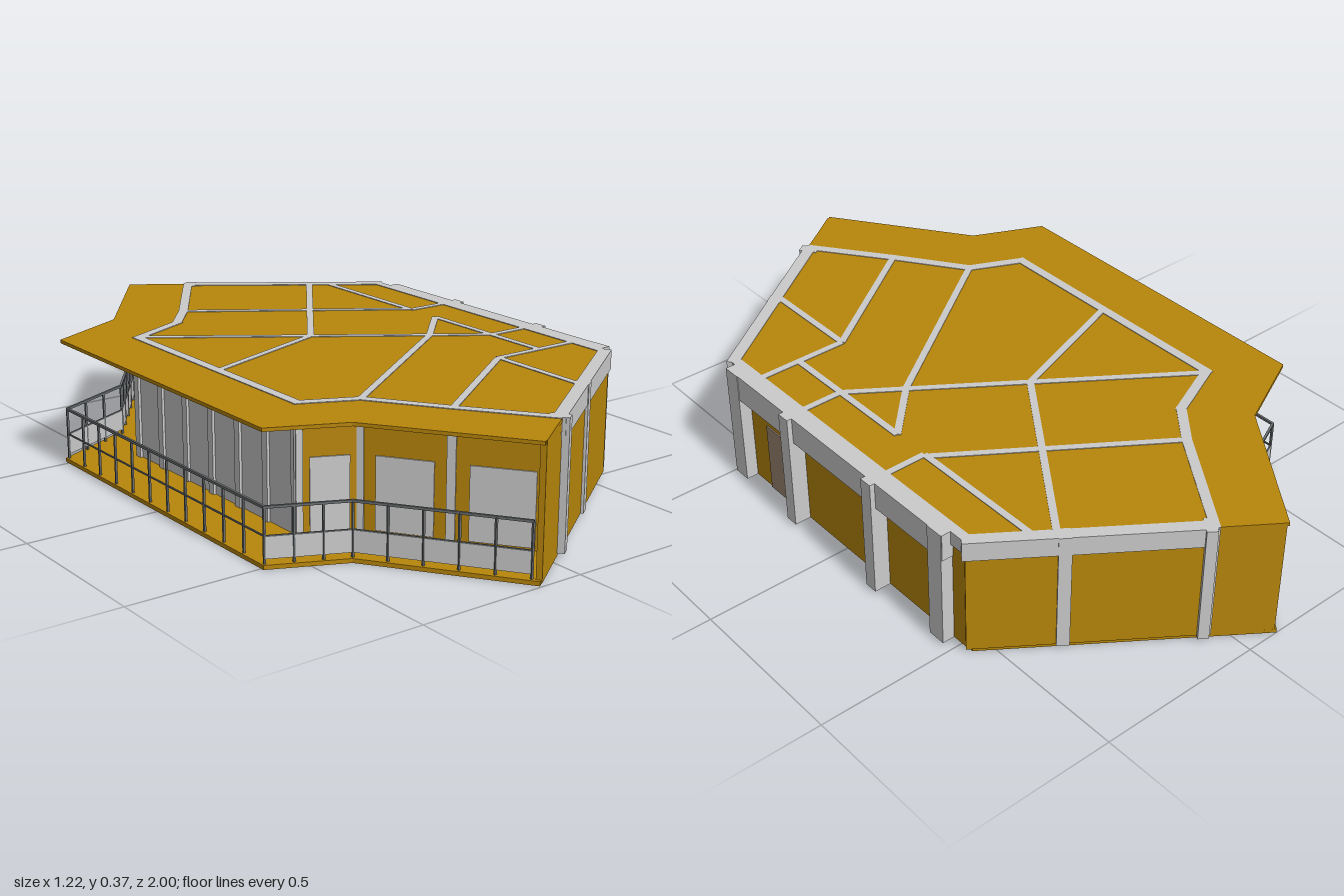
import * as THREE from 'three';

const grey = new THREE.MeshStandardMaterial({ color: 0xcccccc });
const ochre = new THREE.MeshStandardMaterial({ color: 0xb8860b });
const metal = new THREE.MeshStandardMaterial({ color: 0x6a6e70 });
const doorTint = new THREE.MeshStandardMaterial({ color: 0x9c8672 });

const TOP = 0.372, FLOOR = 0.012, BAND = 0.315;

export function createModel() {
  const model = new THREE.Group();
  const group = (name) => {
    const g = new THREE.Group();
    g.name = name;
    model.add(g);
    return g;
  };

  // Upright slab between two plan points [x, z], from y0 to y1
  function bar(parent, name, a, b, width, y0, y1, material, extend = 0) {
    const dx = b[0] - a[0], dz = b[1] - a[1];
    const mesh = new THREE.Mesh(
      new THREE.BoxGeometry(Math.hypot(dx, dz) + extend * 2, y1 - y0, width), material);
    mesh.position.set((a[0] + b[0]) / 2, (y0 + y1) / 2, (a[1] + b[1]) / 2);
    mesh.rotation.y = -Math.atan2(dz, dx);
    mesh.name = name;
    parent.add(mesh);
    return mesh;
  }
  const mix = (a, b, t) => [a[0] + (b[0] - a[0]) * t, a[1] + (b[1] - a[1]) * t];

  // Column standing across the line a-b at fraction t
  function column(parent, a, b, t, along, depth, y1 = TOP) {
    const half = along / 2 / Math.hypot(b[0] - a[0], b[1] - a[1]);
    bar(parent, 'column', mix(a, b, t - half), mix(a, b, t + half), depth, FLOOR, y1, grey);
  }

  // Horizontal plate from a plan outline
  function plate(name, outline, y0, y1) {
    const shape = new THREE.Shape(outline.map(([x, z]) => new THREE.Vector2(x, -z)));
    const geometry = new THREE.ExtrudeGeometry(shape, { depth: y1 - y0, bevelEnabled: false });
    geometry.rotateX(-Math.PI / 2);
    const mesh = new THREE.Mesh(geometry, ochre);
    mesh.position.y = y0;
    mesh.name = name;
    model.add(mesh);
  }

  // Floor and roof
  const balconyEdge = [[-0.10, -1], [-0.37, -0.63], [-0.61, -0.515],
    [-0.61, 0.51], [-0.405, 0.605], [-0.13, 0.995]];
  plate('floor', [...balconyEdge, [0.55, 0.51], [0.55, -0.54]], 0, FLOOR);
  plate('roof', [...balconyEdge, [0.02, 0.893], [0.56, 0.51], [0.56, -0.53], [0.05, -0.895]], 0.36, 0.37);

  // Front and back slanted walls with their grey beams, columns and balcony cheeks
  const slants = [
    { name: 'frontWall', a: [0.03, 0.875], b: [0.56, 0.50], tip: [-0.125, 0.985], posts: [0.015, 0.48] },
    { name: 'backWall', a: [0.05, -0.885], b: [0.56, -0.525], tip: [-0.10, -0.99], posts: [0.015, 0.6] },
  ];
  for (const { name, a, b, tip, posts } of slants) {
    const g = group(name);
    bar(g, 'wallPanel', a, b, 0.024, FLOOR, BAND, ochre);
    bar(g, 'roofBeam', a, b, 0.036, BAND, TOP, grey, 0.008);
    bar(g, 'balconyCheek', a, tip, 0.016, 0.004, 0.37, ochre);
    column(g, a, b, posts[0], 0.03, 0.055);
    column(g, a, b, posts[1], 0.035, 0.04);
  }

  // Right wall: deep beam on four columns, recessed panels and a door
  const right = group('rightWall');
  bar(right, 'wallPanel', [0.55, -0.53], [0.55, 0.505], 0.02, FLOOR, 0.33, ochre);
  bar(right, 'wallCap', [0.553, -0.53], [0.553, 0.505], 0.028, 0.33, TOP, grey);
  bar(right, 'deepBeam', [0.57, -0.48], [0.57, 0.48], 0.05, 0.29, TOP, grey);
  for (const [z, w, x] of [[-0.45, 0.055, 0.597], [-0.185, 0.04, 0.61], [0.185, 0.04, 0.61], [0.455, 0.055, 0.597]]) {
    bar(right, 'column', [(x + 0.55) / 2, z - w / 2], [(x + 0.55) / 2, z + w / 2], x - 0.55, FLOOR, TOP, grey);
  }
  bar(right, 'door', [0.56, 0.245], [0.56, 0.35], 0.008, FLOOR, 0.23, doorTint);

  // Wall behind the balcony
  const facade = group('balconyWall');
  const line = [[0.05, -0.885], [-0.15, -0.59], [-0.24, -0.48], [-0.42, -0.40],
    [-0.42, 0.39], [-0.27, 0.46], [-0.13, 0.66], [0.03, 0.875]];
  for (let i = 0; i < line.length - 1; i++) {
    const a = line[i], b = line[i + 1];
    bar(facade, 'roofBeam', a, b, 0.028, BAND, TOP, grey, 0.008);
    if (i === 3) {
      // Long glazed side
      bar(facade, 'glazing', a, b, 0.01, FLOOR, BAND, grey);
      for (let k = 0; k <= 6; k++) column(facade, a, b, k / 6, 0.024, 0.026);
    } else {
      bar(facade, 'wallPanel', a, b, 0.016, FLOOR, BAND, ochre);
      if (i !== 1) bar(facade, 'window', mix(a, b, 0.18), mix(a, b, 0.82), 0.024, 0.02, 0.225, grey);
      column(facade, a, b, 0, 0.024, 0.026);
    }
  }

  // Inner walls, each with a beam showing through the roof
  const rooms = group('innerWalls');
  const innerLines = [
    [[-0.15, -0.59], [0.42, -0.20]],
    [[0.37, -0.655], [-0.01, -0.12]],
    [[-0.41, -0.40], [-0.01, -0.12]],
    [[-0.01, -0.12], [0.42, 0.18]],
    [[-0.41, 0.02], [-0.01, -0.12]],
    [[0.42, -0.61], [0.42, -0.19]],
    [[0.42, -0.19], [0.545, -0.19]],
    [[0.42, -0.075], [0.27, 0.08]],
    [[0.27, 0.08], [-0.27, 0.46]],
    [[0.42, -0.075], [0.42, 0.38]],
    [[0.42, 0.18], [0.545, 0.18]],
    [[0.27, 0.38], [0.545, 0.38]],
    [[0.27, 0.38], [-0.13, 0.66]],
    [[0.27, 0.38], [0.27, 0.69]],
  ];
  for (const [a, b] of innerLines) {
    bar(rooms, 'innerBeam', a, b, 0.02, BAND, TOP, grey);
    bar(rooms, 'innerWall', a, b, 0.014, FLOOR, BAND, ochre);
  }

  // Balcony railing just inside the floor edge
  const railing = group('railing');
  const path = [[-0.105, -0.975], [-0.36, -0.62], [-0.602, -0.508],
    [-0.602, 0.503], [-0.398, 0.597], [-0.135, 0.97]];
  for (let i = 0; i < path.length - 1; i++) {
    const a = path[i], b = path[i + 1];
    bar(railing, 'topRail', a, b, 0.007, 0.159, 0.166, metal, 0.002);
    bar(railing, 'midRail', a, b, 0.004, 0.084, 0.088, metal);
    if (i !== 2) bar(railing, 'lowerPanel', a, b, 0.004, 0.025, 0.084, grey);
    const count = Math.max(3, Math.round(Math.hypot(b[0] - a[0], b[1] - a[1]) / 0.09));
    for (let k = 0; k <= count; k++) {
      const [x, z] = mix(a, b, k / count);
      const post = new THREE.Mesh(new THREE.BoxGeometry(0.006, 0.15, 0.006), metal);
      post.position.set(x, FLOOR + 0.075, z);
      post.name = 'railPost';
      railing.add(post);
    }
  }

  return model;
}
